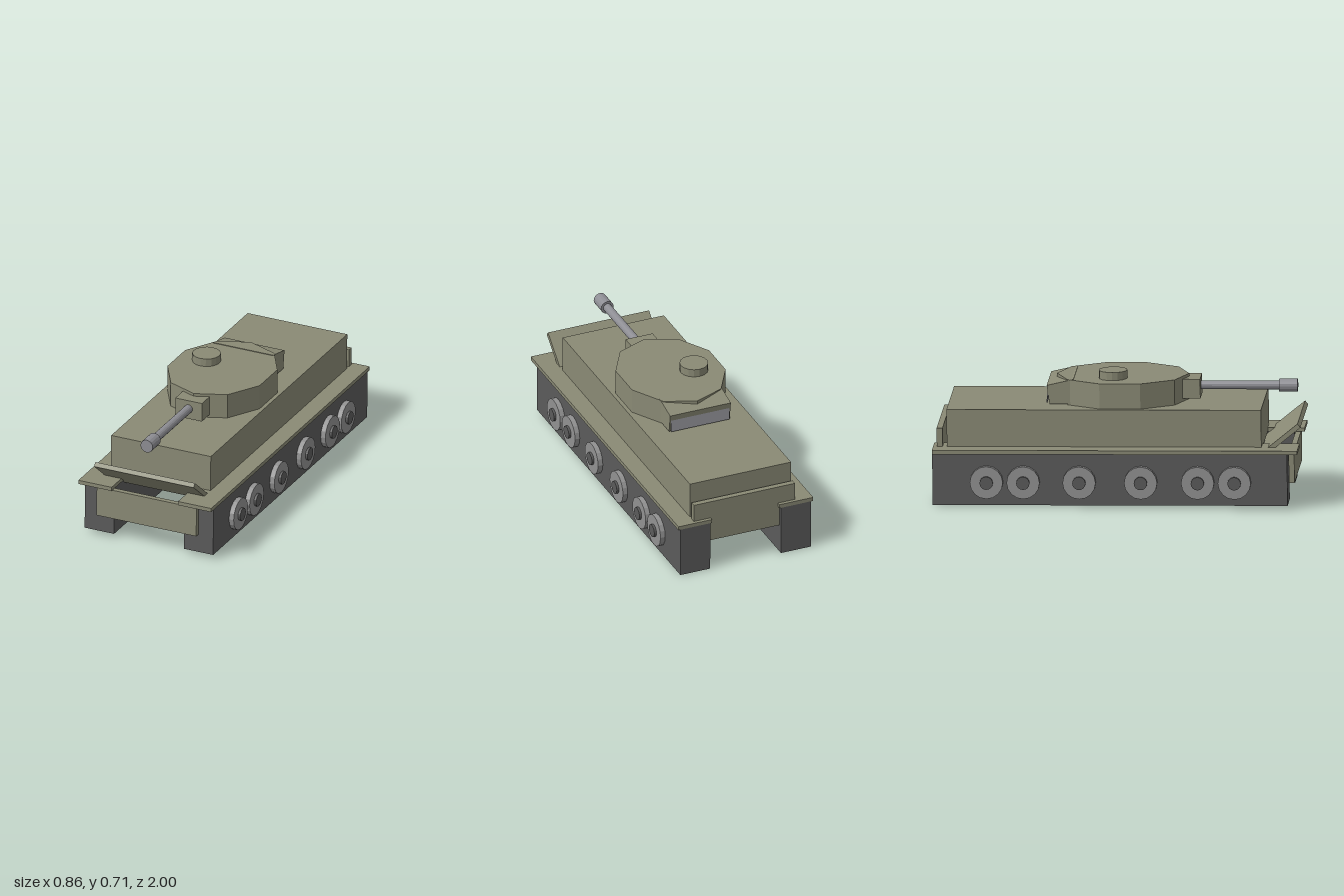
import * as THREE from 'three';

export function createModel() {
  const model = new THREE.Group();
  // everything sits in a body that leans very slightly nose-up
  const body = new THREE.Group();
  body.name = 'body';
  body.rotation.x = -0.0125;
  body.position.z = 0.004;
  model.add(body);

  const mat = (name, color) => {
    const m = new THREE.MeshStandardMaterial({ color });
    m.name = name;
    return m;
  };
  const olive = mat('olive paint', 0x8a8a75);
  const track = mat('dark track', 0x5b5b5b);
  const wheelGrey = mat('wheel grey', 0x919191);
  const steel = mat('gun steel', 0x8e8e94);

  // faceted mesh
  const add = (name, geometry, material, parent = body) => {
    const g = geometry.index ? geometry.toNonIndexed() : geometry;
    g.computeVertexNormals();
    const mesh = new THREE.Mesh(g, material);
    mesh.name = name;
    parent.add(mesh);
    return mesh;
  };
  // box given by its limits
  const box = (name, x0, x1, y0, y1, z0, z1, material) => {
    const g = new THREE.BoxGeometry(x1 - x0, y1 - y0, z1 - z0);
    g.translate((x0 + x1) / 2, (y0 + y1) / 2, (z0 + z1) / 2);
    return add(name, g, material);
  };
  // cylinder along z between z0 and z1
  const rod = (name, r, y, z0, z1, material) => {
    const g = new THREE.CylinderGeometry(r, r, z1 - z0, 16);
    g.rotateX(Math.PI / 2).translate(0, y, (z0 + z1) / 2);
    return add(name, g, material);
  };

  // hull and end plates
  box('upperHull', -0.3, 0.3, 0.3, 0.524, -0.925, 0.787, olive);
  box('frontPlate', -0.3, 0.3, 0.12, 0.29, 0.935, 0.965, olive);
  box('rearPlate', -0.3, 0.3, 0.178, 0.42, -0.98, -0.948, olive);

  // raised front flap, leaning forward
  const flap = add('frontFlap', new THREE.BoxGeometry(0.6, 0.026, 0.26), olive);
  flap.position.set(0, 0.357, 0.892);
  flap.rotation.x = -0.68;

  // running gear on both sides
  const wheelZ = [0.645, 0.445, 0.135, -0.2, -0.505, -0.705];
  for (const s of [1, -1]) {
    const span = (a, b) => (s > 0 ? [a, b] : [-b, -a]);
    box('track', ...span(0.21, 0.387), 0.0125, 0.298, -1, 0.932, track);
    box('fender', ...span(0.2, 0.4), 0.297, 0.319, -1, 0.988, olive);
    for (const z of wheelZ) {
      const wheel = new THREE.Group();
      wheel.name = 'roadWheel';
      wheel.position.set(0, 0.142, z);
      body.add(wheel);
      const disc = (name, r, x0, x1, m) => {
        const g = new THREE.CylinderGeometry(r, r, x1 - x0, 16);
        g.rotateZ(Math.PI / 2).translate((s * (x0 + x1)) / 2, 0, 0);
        add(name, g, m, wheel);
      };
      disc('wheelDisc', 0.09, 0.38, 0.415, wheelGrey);
      disc('wheelHub', 0.036, 0.4, 0.428, track);
    }
  }

  // ten-sided turret with cupola
  const turret = new THREE.CylinderGeometry(1, 1, 0.148, 10);
  turret.scale(0.292, 1, 0.36).translate(0, 0.59, 0.018);
  add('turret', turret, olive);
  const cupola = new THREE.CylinderGeometry(0.078, 0.078, 0.06, 16);
  cupola.translate(-0.118, 0.679, -0.028);
  add('cupola', cupola, olive);

  // rear stowage bin with sloping lid
  const profile = new THREE.Shape([
    new THREE.Vector2(0.24, 0.53), new THREE.Vector2(0.372, 0.53),
    new THREE.Vector2(0.386, 0.634), new THREE.Vector2(0.24, 0.667),
  ]);
  const bin = new THREE.ExtrudeGeometry(profile, { depth: 0.36, bevelEnabled: false });
  bin.translate(0, 0, -0.18).rotateY(Math.PI / 2);
  add('stowageBin', bin, olive);
  const panel = add('binPanel', new THREE.BoxGeometry(0.345, 0.094, 0.006), steel);
  panel.position.set(0, 0.582, -0.381);
  panel.rotation.x = 0.134;

  // gun
  box('mantlet', -0.08, 0.08, 0.54, 0.648, 0.3, 0.442, olive);
  rod('barrel', 0.024, 0.6, 0.42, 0.95, steel);
  rod('muzzle', 0.037, 0.6, 0.868, 0.968, steel);

  return model;
}
